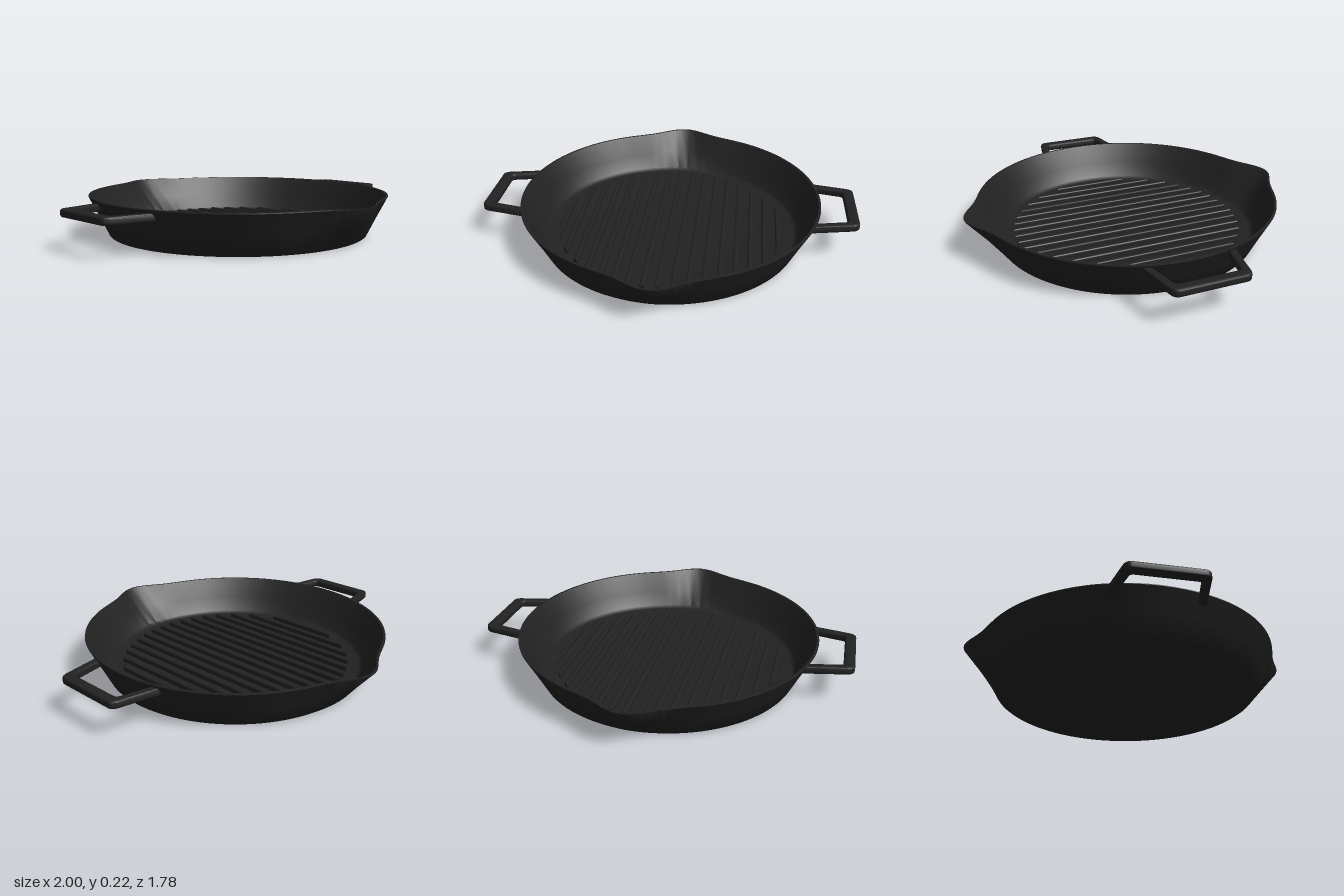
import * as THREE from 'three';
import { toCreasedNormals } from 'three/addons/utils/BufferGeometryUtils.js';

const HEIGHT = 0.22;
const RIB_CIRCLE = 0.62;
const iron = new THREE.MeshStandardMaterial({ color: 0x222222 });

function part(name, geometry) {
  const mesh = new THREE.Mesh(toCreasedNormals(geometry, 0.6), iron);
  mesh.name = name;
  return mesh;
}

// Thin flared pan; the wall is pulled out into a pouring spout at front and back
function panBody() {
  const profile = [
    [0, 0], [0.697, 0], [0.705, 0.006], [0.756, 0.11], [0.81, 0.215], [0.809, HEIGHT],
    [0.797, HEIGHT], [0.792, 0.212], [0.742, 0.115], [0.7, 0.034], [0.69, 0.024], [0.675, 0.02], [0, 0.02],
  ].map(([r, y]) => new THREE.Vector2(r, y));
  const geo = new THREE.LatheGeometry(profile, 160);
  const pos = geo.attributes.position;
  for (let i = 0; i < pos.count; i++) {
    const x = pos.getX(i), y = pos.getY(i), z = pos.getZ(i);
    const r = Math.hypot(x, z);
    if (r < 0.7) continue;
    const angle = Math.atan2(Math.abs(x), Math.abs(z));
    const bump = 0.08 * Math.exp(-0.5 * (angle / 0.125) ** 2) * (y / HEIGHT);
    pos.setXYZ(i, x * (1 + bump / r), y, z * (1 + bump / r));
  }
  return part('panBody', geo);
}

// Round-topped grill rib whose ends follow a circle on the floor
function rib(x0) {
  const w = 0.013, top = 0.046;
  const s = new THREE.Shape();
  s.moveTo(-w, 0.012);
  s.lineTo(w, 0.012);
  s.lineTo(w, top - 0.008);
  s.quadraticCurveTo(w, top, w - 0.008, top);
  s.lineTo(-w + 0.008, top);
  s.quadraticCurveTo(-w, top, -w, top - 0.008);
  s.closePath();
  const geo = new THREE.ExtrudeGeometry(s, { depth: 1, bevelEnabled: false, curveSegments: 4 });
  const pos = geo.attributes.position;
  for (let i = 0; i < pos.count; i++) {
    const x = pos.getX(i) + x0;
    const end = Math.sqrt(RIB_CIRCLE ** 2 - x * x);
    pos.setX(i, x);
    pos.setZ(i, pos.getZ(i) > 0.5 ? end : -end);
  }
  return part('grillRib', geo);
}

// Open bracket handle, drawn flat and given softened edges
function handle(side) {
  const b = 0.01;
  const s = new THREE.Shape();
  s.moveTo(0.757, -0.235);
  s.lineTo(0.96, -0.193);
  s.quadraticCurveTo(0.99, -0.187, 0.99, -0.165);
  s.lineTo(0.99, 0.165);
  s.quadraticCurveTo(0.99, 0.187, 0.96, 0.193);
  s.lineTo(0.757, 0.235);
  s.lineTo(0.77, 0.208);
  s.lineTo(0.925, 0.176);
  s.quadraticCurveTo(0.953, 0.17, 0.953, 0.145);
  s.lineTo(0.953, -0.145);
  s.quadraticCurveTo(0.953, -0.17, 0.925, -0.176);
  s.lineTo(0.77, -0.208);
  s.closePath();
  const geo = new THREE.ExtrudeGeometry(s, {
    depth: 0.02, bevelSize: b, bevelThickness: b, bevelSegments: 3, curveSegments: 6,
  });
  geo.rotateX(-Math.PI / 2);
  geo.translate(0, 0.174, 0);
  if (side < 0) geo.rotateY(Math.PI);
  return part(side > 0 ? 'leftHandle' : 'rightHandle', geo);
}

export function createModel() {
  const model = new THREE.Group();
  model.name = 'grillPan';
  model.add(panBody(), handle(1), handle(-1));

  const ribs = new THREE.Group();
  ribs.name = 'grillRibs';
  for (let i = -8; i <= 8; i++) ribs.add(rib(i * 0.0742));
  model.add(ribs);
  return model;
}
